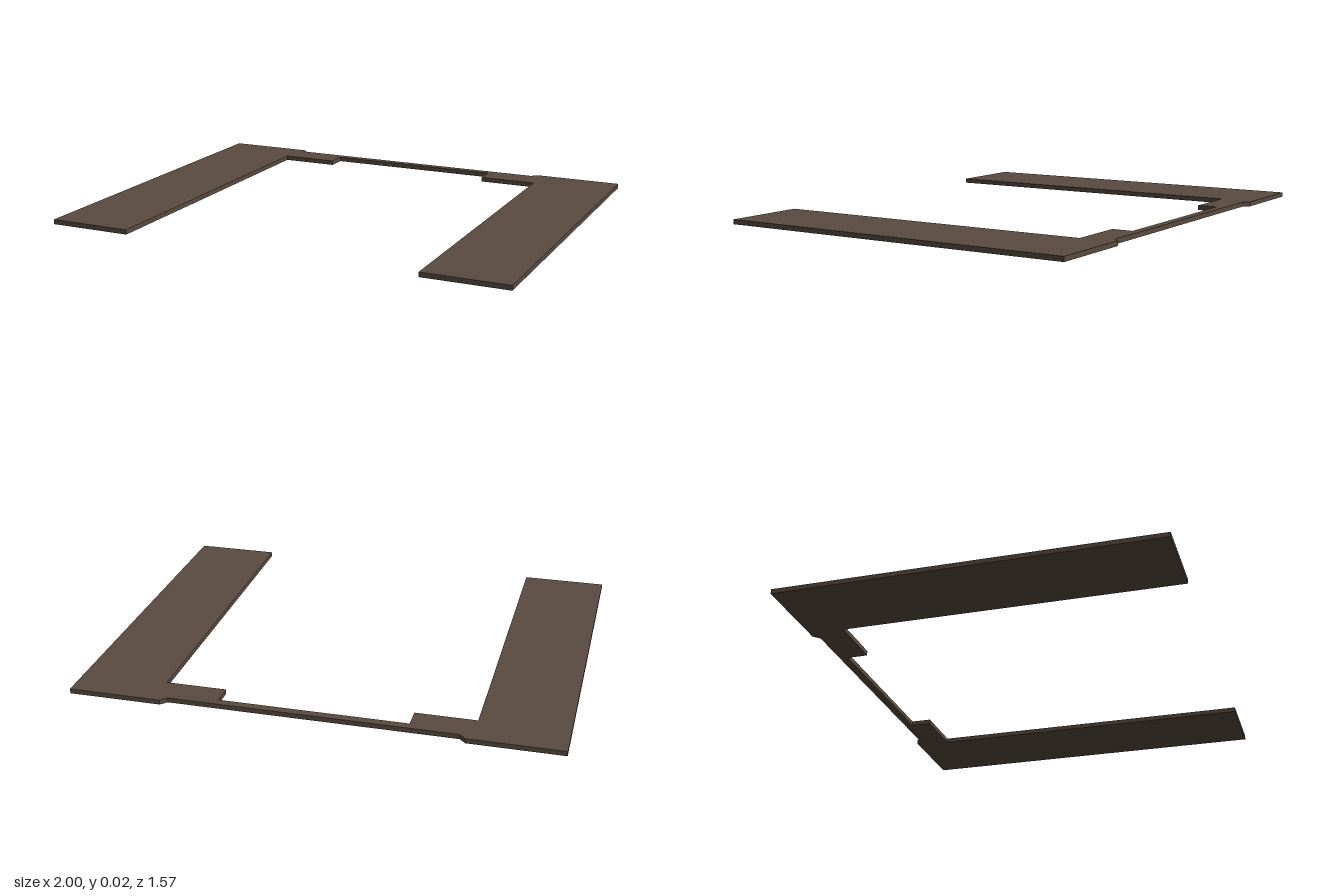
import * as THREE from 'three';

const THICKNESS = 0.02;

export function createModel() {
  const group = new THREE.Group();
  group.name = 'floorFrame';
  const brown = new THREE.MeshStandardMaterial({ color: 0x5a4b40 });
  brown.name = 'dark brown';

  // Half outline as [x, -z], from the middle of the back edge round to the inner edge
  const half = [
    [0.59, 0.76], [0.615, 0.785], [1, 0.785], [1, -0.785],
    [0.64, -0.785], [0.64, 0.637], [0.388, 0.637], [0.388, 0.725],
  ];
  const mirrored = half.map(([x, y]) => [-x, y]).reverse();
  const outline = [...half, ...mirrored].map(([x, y]) => new THREE.Vector2(x, y));

  // Flat U-shaped slab: two broad side arms, corner tabs and a thin back strip
  const geometry = new THREE.ExtrudeGeometry(new THREE.Shape(outline), {
    depth: THICKNESS, bevelEnabled: false,
  });
  geometry.rotateX(-Math.PI / 2);
  const slab = new THREE.Mesh(geometry, brown);
  slab.name = 'uShapedSlab';
  group.add(slab);

  return group;
}
